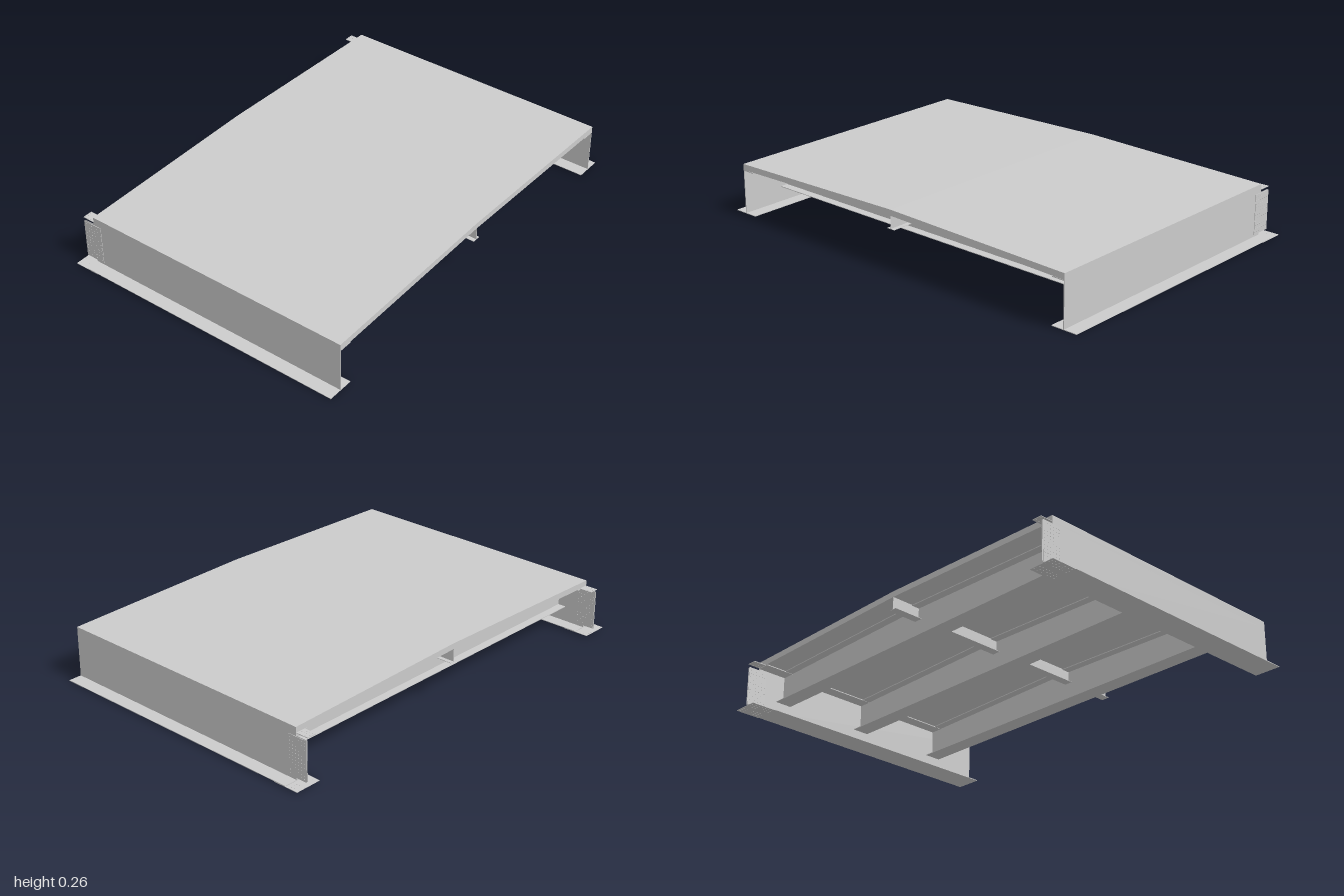
import * as THREE from 'three';
import { mergeGeometries } from 'three/addons/utils/BufferGeometryUtils.js';

const FRONT = 0.688, BACK = -0.625, HALF = 0.938;
const material = new THREE.MeshStandardMaterial({ color: 0xcccccc, flatShading: true, side: THREE.DoubleSide });

// The whole span climbs gently towards the back
function incline(geometry) {
  const p = geometry.attributes.position;
  for (let i = 0; i < p.count; i++) p.setY(i, p.getY(i) + 0.0055 * (FRONT - p.getZ(i)));
  geometry.computeVertexNormals();
  return geometry;
}

function add(parent, name, geometry) {
  const mesh = new THREE.Mesh(incline(geometry), material);
  mesh.name = name;
  parent.add(mesh);
}

// Box given by its limits on each axis
function box(x0, x1, y0, y1, z0, z1) {
  return new THREE.BoxGeometry(Math.abs(x1 - x0), y1 - y0, z1 - z0)
    .translate((x0 + x1) / 2, (y0 + y1) / 2, (z0 + z1) / 2);
}

// Section with sloped top (and optionally bottom) peaking at x = 0, extruded along z
function crowned(half, yBottom, bottomRise, yTop, topRise, z0, z1) {
  const shape = new THREE.Shape([
    [-half, yBottom], [0, yBottom + bottomRise], [half, yBottom],
    [half, yTop], [0, yTop + topRise], [-half, yTop],
  ].map(([x, y]) => new THREE.Vector2(x, y)));
  return new THREE.ExtrudeGeometry(shape, { depth: z1 - z0, bevelEnabled: false }).translate(0, 0, z0);
}

// Grid of small bolts whose axis lies along x or y
function bolts(axis, length, center, spanA, spanZ, rows, columns) {
  const parts = [];
  for (let i = 0; i < rows; i++) {
    for (let j = 0; j < columns; j++) {
      const a = THREE.MathUtils.lerp(spanA[0], spanA[1], i / (rows - 1));
      const z = THREE.MathUtils.lerp(spanZ[0], spanZ[1], j / (columns - 1));
      const bolt = new THREE.CylinderGeometry(0.0025, 0.0025, length, 6);
      if (axis === 'x') bolt.rotateZ(Math.PI / 2).translate(center, a, z);
      else bolt.translate(a, center, z);
      parts.push(bolt);
    }
  }
  return mergeGeometries(parts);
}

export function createModel() {
  const model = new THREE.Group();
  model.name = 'bridgeDeckSection';

  // Cambered deck slab
  add(model, 'deckSlab', crowned(HALF, 0.21, 0.02, 0.238, 0.019, BACK, FRONT));

  // Edge girders with bolted splices at the back end
  for (const s of [1, -1]) {
    const girder = new THREE.Group();
    girder.name = s > 0 ? 'leftGirder' : 'rightGirder';
    model.add(girder);
    add(girder, 'web', box(s * (HALF - 0.004), s * HALF, 0.004, 0.21, BACK, FRONT));
    add(girder, 'bottomFlange', box(s * 0.875, s, 0.002, 0.005, BACK, FRONT));
    add(girder, 'topFlange', box(s * 0.875, s * HALF, 0.206, 0.21, BACK, FRONT));

    // Web splice, one plate on each face
    for (const x of [HALF, HALF - 0.006]) {
      add(girder, 'webSplicePlate', box(s * x, s * (x + 0.002), 0.015, 0.198, -0.68, -0.585));
    }
    add(girder, 'webBolts', bolts('x', 0.01, s * (HALF - 0.002), [0.026, 0.185], [-0.67, -0.592], 11, 6));

    // Flange splices
    add(girder, 'lowerSplicePlate', box(s * 0.875, s, 0, 0.002, -0.688, -0.565));
    for (const [a, b] of [[0.89, 0.92], [0.955, 0.985]]) {
      add(girder, 'flangeBolts', bolts('y', 0.004, 0.0005, [s * a, s * b], [-0.68, -0.573], 3, 7));
    }
    add(girder, 'topSplicePlate', box(s * 0.89, s * 0.936, 0.21, 0.213, -0.685, BACK));
    add(girder, 'topBolts', bolts('y', 0.005, 0.2115, [s * 0.9, s * 0.928], [-0.677, -0.633], 3, 4));
  }

  // Crossbeams spanning between the girders
  for (const z of [0.44, -0.02, -0.48]) {
    const beam = new THREE.Group();
    beam.name = 'crossbeam';
    model.add(beam);
    add(beam, 'web', crowned(HALF - 0.004, 0.076, 0, 0.207, 0.02, z - 0.002, z + 0.002));
    add(beam, 'topFlange', crowned(HALF - 0.004, 0.206, 0.02, 0.21, 0.02, z - 0.04, z + 0.04));
    add(beam, 'bottomFlange', box(-HALF + 0.004, HALF - 0.004, 0.074, 0.077, z - 0.04, z + 0.04));
  }

  // Central stringer under the crown
  const stringer = new THREE.Group();
  stringer.name = 'stringer';
  model.add(stringer);
  add(stringer, 'web', box(-0.001, 0.001, 0.172, 0.23, BACK, FRONT));
  add(stringer, 'bottomFlange', box(-0.02, 0.02, 0.17, 0.172, BACK, FRONT));

  return model;
}
